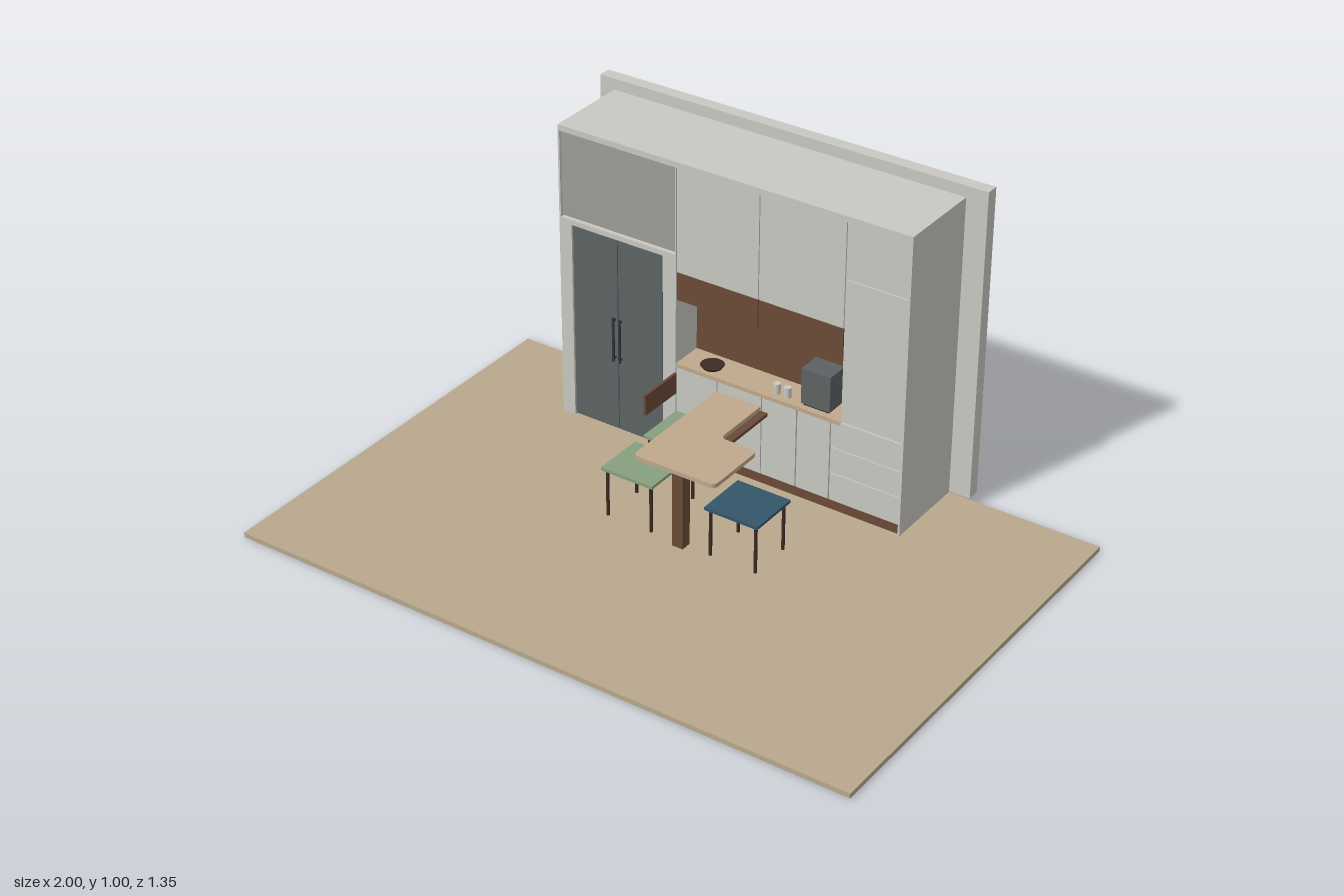
import * as THREE from 'three';

const mat = (name, color) => new THREE.MeshStandardMaterial({ name, color });

export function createModel() {
  const root = new THREE.Group();
  root.name = 'kitchen';
  const white = mat('warm white panel', 0xc9c8c1);
  const floorTan = mat('floor tan', 0xb8a88d);
  const wood = mat('pale wood', 0xbfa98c);
  const brown = mat('walnut brown', 0x6b4a37);
  const dark = mat('dark brown', 0x3d2c22);
  const slate = mat('appliance slate', 0x5c6264);
  const grey = mat('louvre grey', 0x8b8b87);
  const black = mat('dark metal', 0x34373a);
  const green = mat('sage green', 0x879f80);
  const blue = mat('deep blue', 0x33566a);

  const add = (name, geo, m, parent = root) => {
    const mesh = new THREE.Mesh(geo, m);
    mesh.name = name;
    parent.add(mesh);
    return mesh;
  };
  // Box given by its limits on each axis
  const box = (name, m, x0, x1, y0, y1, z0, z1, parent = root) => {
    const mesh = add(name, new THREE.BoxGeometry(x1 - x0, y1 - y0, z1 - z0), m, parent);
    mesh.position.set((x0 + x1) / 2, (y0 + y1) / 2, (z0 + z1) / 2);
    return mesh;
  };
  const group = (name) => {
    const g = new THREE.Group();
    g.name = name;
    root.add(g);
    return g;
  };

  // Floor and back wall
  box('floor', floorTan, -1, 1, 0, 0.015, -0.635, 0.675);
  box('backWall', white, -0.705, 0.583, 0.018, 1, -0.675, -0.635);

  // Cabinet carcass: deep back block with a frame in front of it
  const F = -0.36, N = -0.47, D = F - 0.003;
  const shell = group('cabinetShell');
  box('carcass', white, -0.655, 0.515, 0.015, 0.965, -0.635, N, shell);
  box('topPanel', white, -0.655, 0.515, 0.947, 0.965, N, F, shell);
  box('leftPanel', white, -0.655, -0.649, 0.015, 0.947, N, F, shell);
  box('rightPanel', white, 0.509, 0.515, 0.015, 0.947, N, F, shell);
  box('fridgeLeftFiller', white, -0.649, -0.612, 0.015, 0.672, N, F, shell);
  box('fridgeRightFiller', white, -0.292, -0.247, 0.015, 0.672, N, F, shell);
  box('fridgeTopFiller', white, -0.612, -0.292, 0.656, 0.672, N, F, shell);
  box('louvreSide', white, -0.25, -0.247, 0.672, 0.947, N, F, shell);

  // Refrigerator with two doors and bar handles
  const fridge = group('refrigerator');
  box('fridgeBody', black, -0.61, -0.294, 0.018, 0.654, N, -0.372, fridge);
  box('leftDoor', slate, -0.609, -0.4535, 0.022, 0.653, -0.372, D, fridge);
  box('rightDoor', slate, -0.4505, -0.295, 0.022, 0.653, -0.372, D, fridge);
  for (const x of [-0.463, -0.441]) {
    box('handle', black, x - 0.003, x + 0.003, 0.255, 0.4, -0.356, -0.35, fridge);
    for (const y of [0.262, 0.388]) box('handlePost', black, x - 0.003, x + 0.003, y, y + 0.006, D, -0.356, fridge);
  }

  // Louvred grille above the refrigerator
  const louvre = group('louvre');
  box('louvreBack', black, -0.649, -0.25, 0.672, 0.947, N, -0.385, louvre);
  const slats = 15, pitch = 0.27 / slats;
  for (let i = 0; i < slats; i++) {
    const slat = add('slat', new THREE.BoxGeometry(0.396, pitch * 0.85, 0.006), grey, louvre);
    slat.position.set(-0.4495, 0.676 + (i + 0.5) * pitch, -0.369);
    slat.rotation.x = -0.3;
  }

  // Upper doors and the walnut row beneath them
  const upper = group('upperCabinets');
  for (const [a, b] of [[-0.245, 0.0285], [0.0315, 0.308]]) {
    box('upperDoor', white, a, b, 0.617, 0.945, N, D, upper);
    box('walnutDoor', brown, a, b, 0.527, 0.615, N, D, upper);
  }
  box('backsplash', brown, -0.247, 0.31, 0.318, 0.53, N, N + 0.004, upper);

  // Tall column at the right
  box('tallDoorUpper', white, 0.311, 0.508, 0.772, 0.945, N, D, upper);
  box('tallDoorLower', white, 0.311, 0.508, 0.318, 0.769, N, D, upper);

  // Lower cabinets, drawers, plinth and worktop
  const lower = group('lowerCabinets');
  box('lowerRecess', dark, -0.247, 0.509, 0.045, 0.306, N, -0.372, lower);
  box('plinth', brown, -0.247, 0.509, 0.015, 0.046, N, -0.368, lower);
  for (const [a, b] of [[-0.246, -0.107], [-0.104, 0.045], [0.048, 0.163], [0.167, 0.275]])
    box('lowerDoor', white, a, b, 0.049, 0.304, -0.372, D, lower);
  for (const [a, b] of [[0.049, 0.138], [0.141, 0.223], [0.226, 0.304]])
    box('drawer', white, 0.279, 0.508, a, b, -0.372, D, lower);
  box('worktop', wood, -0.247, 0.31, 0.306, 0.318, N, F, lower);
  box('columnRail', white, 0.31, 0.509, 0.306, 0.316, N, F, lower);

  // Things on the worktop
  const bowl = add('bowl', new THREE.CylinderGeometry(0.036, 0.03, 0.008, 24), dark);
  bowl.position.set(-0.15, 0.322, -0.405);
  for (const x of [0.08, 0.116]) {
    const jar = add('canister', new THREE.CylinderGeometry(0.011, 0.011, 0.032, 16), white);
    jar.position.set(x, 0.334, -0.39);
  }
  box('countertopAppliance', slate, 0.17, 0.265, 0.325, 0.438, -0.45, -0.375);
  box('applianceBase', black, 0.175, 0.26, 0.318, 0.325, -0.445, -0.38);

  // L-shaped table top with rounded corners; shape y is -z
  const r = 0.02, s = new THREE.Shape();
  s.moveTo(-0.105, 0.36);
  s.lineTo(-0.105, -0.05 + r);
  s.quadraticCurveTo(-0.105, -0.05, -0.105 + r, -0.05);
  s.lineTo(0.167 - r, -0.05);
  s.quadraticCurveTo(0.167, -0.05, 0.167, -0.05 + r);
  s.lineTo(0.167, 0.16 - r);
  s.quadraticCurveTo(0.167, 0.16, 0.167 - r, 0.16);
  s.lineTo(0.045 + r, 0.16);
  s.quadraticCurveTo(0.045, 0.16, 0.045, 0.16 + r);
  s.lineTo(0.045, 0.36);
  const table = group('table');
  const top = add('tableTop', new THREE.ExtrudeGeometry(s, { depth: 0.013, bevelEnabled: false, curveSegments: 6 }), wood, table);
  top.rotation.x = -Math.PI / 2;
  top.position.y = 0.262;
  box('tableRail', brown, -0.09, 0.07, 0.252, 0.262, -0.36, 0.03, table);
  box('tableLeg', brown, 0.02, 0.055, 0.015, 0.262, 0.005, 0.04, table);

  // Stools: slim seat with a soft edge on four round legs
  const stool = (name, m, x0, x1, z0, z1) => {
    const g = group(name);
    box('seat', m, x0, x1, 0.167, 0.176, z0, z1, g);
    box('seatUnderside', m, x0 + 0.004, x1 - 0.004, 0.163, 0.167, z0 + 0.004, z1 - 0.004, g);
    for (const x of [x0 + 0.013, x1 - 0.013])
      for (const z of [z0 + 0.013, z1 - 0.013]) {
        const leg = add('stoolLeg', new THREE.CylinderGeometry(0.005, 0.005, 0.149, 12), dark, g);
        leg.position.set(x, 0.0895, z);
      }
    return g;
  };
  const rear = stool('rearGreenStool', green, -0.23, -0.055, -0.338, -0.175);
  stool('frontGreenStool', green, -0.23, -0.055, -0.135, 0.03);
  stool('blueStool', blue, 0.12, 0.295, -0.135, 0.03);
  box('backrest', brown, -0.231, -0.223, 0.242, 0.308, -0.33, -0.177, rear);

  return root;
}
